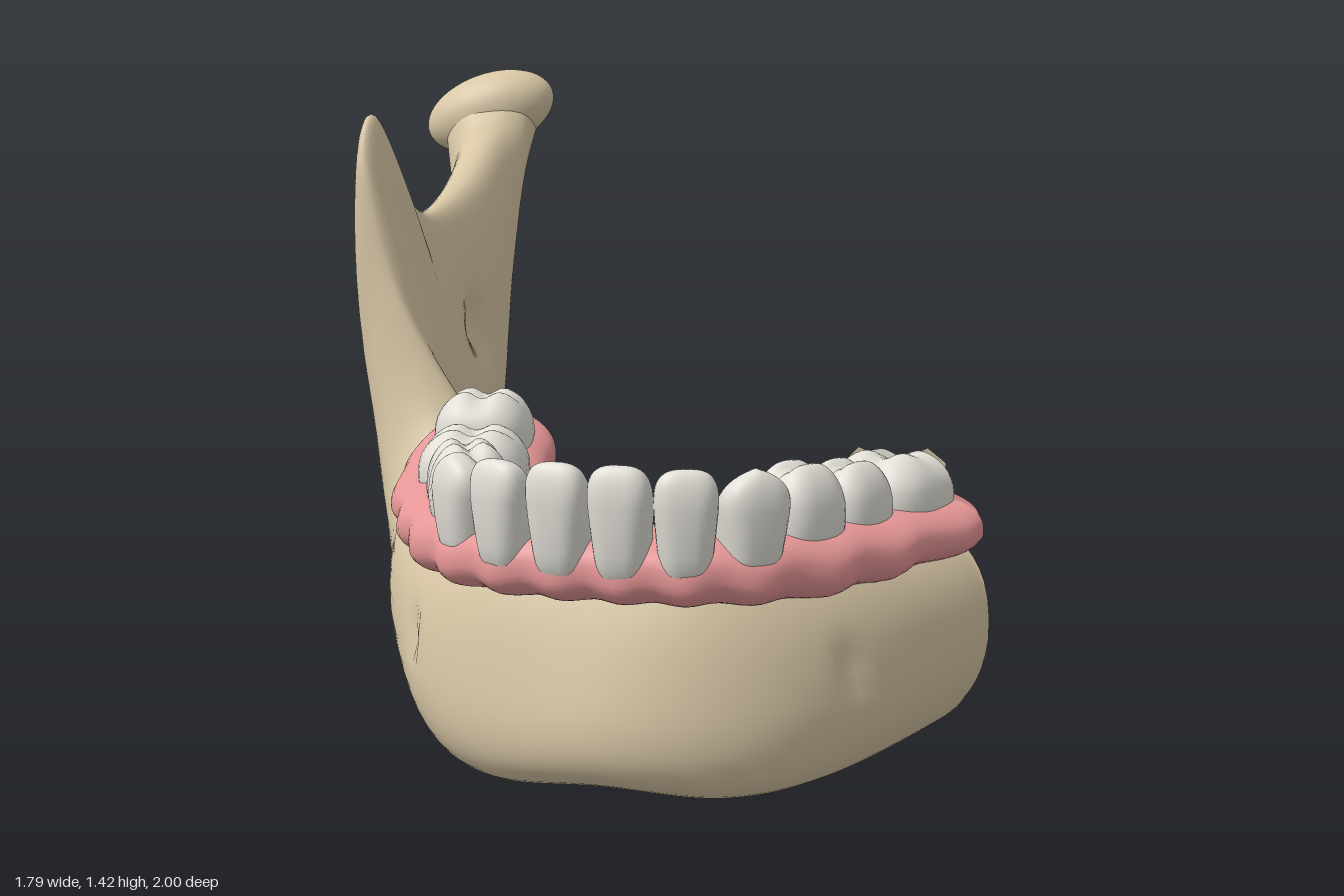
import * as THREE from 'three';

const MID = 0.2;    // symmetry plane of the arch
const CUT = 0.36;   // plane where the left side is sawn off
const paint = (name, color, side = THREE.FrontSide) => {
  const m = new THREE.MeshStandardMaterial({ color, side });
  m.name = name;
  return m;
};
const pow = (v, p) => Math.sign(v) * Math.abs(v) ** p;

// Jaw body: top xyz, bottom xyz, outward angle, half widths at bottom / middle / top
const BODY = [
  [0.2, 0.5, 0.815, 0.2, 0.022, 0.835, 0, 0.18, 0.11, 0.065],
  [0, 0.5, 0.78, -0.02, 0, 0.78, 25, 0.16, 0.125, 0.09],
  [-0.15, 0.5, 0.64, -0.18, 0.02, 0.65, 55, 0.13, 0.16, 0.11],
  [-0.28, 0.52, 0.36, -0.33, 0.07, 0.36, 68, 0.12, 0.2, 0.15],
  [-0.37, 0.55, 0.14, -0.44, 0.13, 0.14, 66, 0.1, 0.19, 0.15],
  [-0.47, 0.64, 0.06, -0.51, 0.17, -0.02, 68, 0.09, 0.18, 0.11],
];

// Ramus: top xyz, bottom xyz, half widths at middle and top; the rest is constant
const RAMUS = [
  [-0.62, 0.93, 0.035, -0.55, 0.2, -0.13, 0.15, 0.05],
  [-0.69, 1.22, 0.025, -0.575, 0.22, -0.2, 0.135, 0.04],
  [-0.7, 1.335, -0.055, -0.59, 0.235, -0.26, 0.125, 0.04],
  [-0.69, 1.18, -0.155, -0.6, 0.265, -0.36, 0.11, 0.045],
  [-0.68, 1.085, -0.3, -0.615, 0.31, -0.48, 0.1, 0.06],
  [-0.685, 1.14, -0.55, -0.64, 0.43, -0.6, 0.09, 0.09],
  [-0.7, 1.26, -0.77, -0.68, 0.7, -0.72, 0.08, 0.1],
  [-0.72, 1.36, -0.86, -0.71, 0.96, -0.84, 0.09, 0.15],
  [-0.73, 1.37, -0.925, -0.74, 1.17, -0.95, 0.13, 0.15],
].map(([x, y, z, u, v, w, mid, top]) => [x, y, z, u, v, w, 83, 0.075, mid, top]);

// Gum row: x, z, outward angle, half width, bottom y, top y
const GUM = [
  [0.2, 0.845, 0, 0.125, 0.415, 0.56],
  [0, 0.81, 25, 0.135, 0.415, 0.56],
  [-0.16, 0.66, 55, 0.135, 0.415, 0.56],
  [-0.29, 0.36, 70, 0.168, 0.445, 0.575],
  [-0.35, 0.16, 75, 0.165, 0.47, 0.61],
  [-0.36, 0.05, 80, 0.15, 0.49, 0.65],
  [-0.365, -0.035, 85, 0.07, 0.51, 0.66],
].map(([x, z, a, w, yb, yt]) => [x, yt, z, x, yb, z, a, w, w * 1.05, w * 0.93]);

// Tooth: name, x, z, outward angle, width along arch, depth, bottom y, top y
const TEETH = [
  ['central incisor', 0.137, 0.925, 5, 0.135, 0.125, 0.44, 0.705],
  ['lateral incisor', 0.015, 0.9, 20, 0.135, 0.135, 0.44, 0.7],
  ['canine', -0.088, 0.82, 40, 0.15, 0.155, 0.44, 0.695],
  ['first premolar', -0.16, 0.685, 58, 0.165, 0.165, 0.46, 0.69],
  ['second premolar', -0.225, 0.545, 66, 0.165, 0.165, 0.46, 0.675],
  ['first molar', -0.28, 0.36, 74, 0.265, 0.235, 0.46, 0.675],
  ['second molar', -0.345, 0.13, 78, 0.22, 0.215, 0.5, 0.725],
];

// Small pits: mental foramina and the opening on the inner ramus
const PITS = [
  [-0.29, 0.28, 0.72, 0.03, 0.025],
  [0.69, 0.28, 0.72, 0.03, 0.025],
  [-0.57, 0.79, -0.43, 0.06, 0.045],
];

const mirrored = ([a, b, c, d, e, f, g, ...w]) => [2 * MID - a, b, c, 2 * MID - d, e, f, -g, ...w];

// Smooth value of every station column at a fractional index
function sample(st, t) {
  const i = Math.min(Math.floor(t), st.length - 2), f = t - i;
  const at = (k) => st[Math.max(0, Math.min(st.length - 1, k))];
  return st[0].map((_, c) => {
    const a = at(i - 1)[c], b = at(i)[c], d = at(i + 1)[c], e = at(i + 2)[c];
    return b + 0.5 * f * (d - a + f * (2 * a - 5 * b + 4 * d - e + f * (3 * (b - d) + e - a)));
  });
}

// Loft through the stations, sawn flat at CUT on the left; returns geometry and cut outline
function loft(half, shape) {
  const st = [...half.slice(1, 5).reverse().map(mirrored), ...half];
  const start = 0.55, rows = (st.length - 1) * 12, ring = 48;
  const pos = [], idx = [], outline = [];
  for (let i = 0; i <= rows; i++) {
    const s = sample(st, start + (st.length - 1 - start) * i / rows);
    const top = new THREE.Vector3(s[0], s[1], s[2]), bottom = new THREE.Vector3(s[3], s[4], s[5]);
    const a = THREE.MathUtils.degToRad(s[6]);
    const out = new THREE.Vector3(-Math.sin(a), 0, Math.cos(a));
    const along = new THREE.Vector3(-Math.cos(a), 0, -Math.sin(a));
    for (let j = 0; j < ring; j++) {
      const phi = j / ring * Math.PI * 2, side = pow(Math.sin(phi), 0.8);
      const h = (1 + pow(Math.cos(phi), 0.8)) / 2;
      const w = s[7] * (1 - h) ** 2 + 2 * s[8] * h * (1 - h) + s[9] * h * h;
      const p = bottom.clone().lerp(top, h).addScaledVector(out, w * side);
      shape(p, out, side);
      if (p.x > MID && p.z < CUT) p.addScaledVector(along, (CUT - p.z) / along.z);
      pos.push(p.x, p.y, p.z);
      if (i === 0) outline.push(new THREE.Vector2(p.x, p.y));
      if (i < rows) {
        const k = i * ring + j, n = i * ring + (j + 1) % ring;
        idx.push(k, k + ring, n, n, k + ring, n + ring);
      }
    }
  }
  const e = st[st.length - 1], base = rows * ring;
  pos.push((e[0] + e[3]) / 2, (e[1] + e[4]) / 2, (e[2] + e[5]) / 2);
  for (let j = 0; j < ring; j++) idx.push(base + ring, base + (j + 1) % ring, base + j);
  const geo = new THREE.BufferGeometry();
  geo.setAttribute('position', new THREE.Float32BufferAttribute(pos, 3));
  geo.setIndex(idx);
  geo.computeVertexNormals();
  return { geo, outline };
}

// Rounded crown, shaped by kind, placed on the arch
function crown([name, x, z, angle, w, d, y0, y1]) {
  const geo = new THREE.SphereGeometry(1, 32, 24), p = geo.attributes.position;
  const front = /incisor|canine/.test(name);
  for (let i = 0; i < p.count; i++) {
    let X = pow(p.getX(i), 0.7), Y = pow(p.getY(i), front ? 0.5 : 0.7), Z = pow(p.getZ(i), 0.75);
    const t = (Y + 1) / 2;
    if (front) {
      X *= 0.72 + 0.36 * t;
      Z = Z * (1.1 - 0.6 * t * t) + 0.9 * t - 0.25;
      if (name === 'canine') Y -= 0.2 * Math.abs(X) * t * t;
    } else {
      const cross = / molar/.test(name) ? 0.7 * Math.exp(-X * X * 16) : 0;
      const bulge = 0.85 + 0.2 * Math.sin(t * Math.PI);
      if (Y > 0) Y -= 0.2 * (Math.exp(-Z * Z * 12) + cross) * Y * Y;
      X *= bulge;
      Z *= bulge;
    }
    p.setXYZ(i, X * w / 2, Y * (y1 - y0) / 2, Z * d / 2);
  }
  geo.rotateY(-THREE.MathUtils.degToRad(angle));
  geo.translate(x, (y0 + y1) / 2, z);
  if (x > MID) for (let i = 0; i < p.count; i++) p.setZ(i, Math.max(p.getZ(i), CUT));
  geo.computeVertexNormals();
  return geo;
}

export function createModel() {
  const model = new THREE.Group();
  const bone = paint('bone', 0xd8c7a6), gum = paint('gum', 0xe69696), enamel = paint('enamel', 0xe2dfd7);
  const marrow = paint('cutBone', 0x966352, THREE.DoubleSide);
  const dentine = paint('cutTooth', 0xc8ba9e, THREE.DoubleSide);
  const gumCut = paint('cutGum', 0xe09292, THREE.DoubleSide);
  const add = (name, geo, mat, parent = model) => {
    const m = new THREE.Mesh(geo, mat);
    m.name = name;
    parent.add(m);
    return m;
  };
  const face = (name, points, mat, z) =>
    add(name, new THREE.ShapeGeometry(new THREE.Shape(points)), mat).position.set(0, 0, z);

  // Jaw bone with body, ramus and coronoid
  const jaw = loft([...BODY, ...RAMUS], (p, out, side) => {
    for (const [x, y, z, r, depth] of PITS) {
      const d2 = (p.x - x) ** 2 + (p.y - y) ** 2 + (p.z - z) ** 2;
      p.addScaledVector(out, -Math.sign(side) * depth * Math.exp(-d2 / (r * r)));
    }
  });
  add('jawBone', jaw.geo, bone);
  const condyle = add('condyle', new THREE.SphereGeometry(1, 36, 24), bone);
  condyle.scale.set(0.175, 0.1, 0.09);
  condyle.rotation.set(0, 0.2, 0.33);
  condyle.position.set(-0.73, 1.305, -0.905);

  // Gum, swelling gently over each root
  const teeth = [...TEETH, ...TEETH.slice(0, 6).map(([n, x, z, a, ...r]) => [n, 2 * MID - x, z, -a, ...r])];
  const gums = loft(GUM, (p, out, side) => {
    if (side <= 0) return;
    let swell = 0;
    for (const [, x, z, angle, w] of teeth) {
      const a = THREE.MathUtils.degToRad(angle);
      const u = (p.x - x) * Math.cos(a) + (p.z - z) * Math.sin(a);
      if (Math.hypot(p.x - x, p.z - z) < 0.3) swell = Math.max(swell, Math.exp(-((u / w) ** 2) * 9));
    }
    p.addScaledVector(out, side * 0.015 * (swell - 0.4));
    p.y -= side * 0.015 * swell;
  });
  add('gum', gums.geo, gum);

  // Teeth
  const row = new THREE.Group();
  row.name = 'teeth';
  model.add(row);
  for (const t of teeth) add((t[1] > MID ? 'left ' : 'right ') + t[0], crown(t), enamel, row);

  // Sawn faces on the left
  face('gumCutFace', gums.outline, gumCut, CUT - 0.001);
  face('boneCutFace', jaw.outline, marrow, CUT - 0.004);
  face('toothCutFace', [
    [0.575, 0.57], [0.565, 0.63], [0.6, 0.665], [0.68, 0.635], [0.75, 0.67], [0.79, 0.64],
    [0.79, 0.56], [0.72, 0.43], [0.69, 0.47], [0.61, 0.5],
  ].map(([x, y]) => new THREE.Vector2(x, y)), dentine, CUT - 0.007);
  const canal = add('nerveCanal', new THREE.CircleGeometry(0.018, 20), dentine);
  canal.position.set(0.69, 0.28, CUT - 0.007);
  return model;
}
